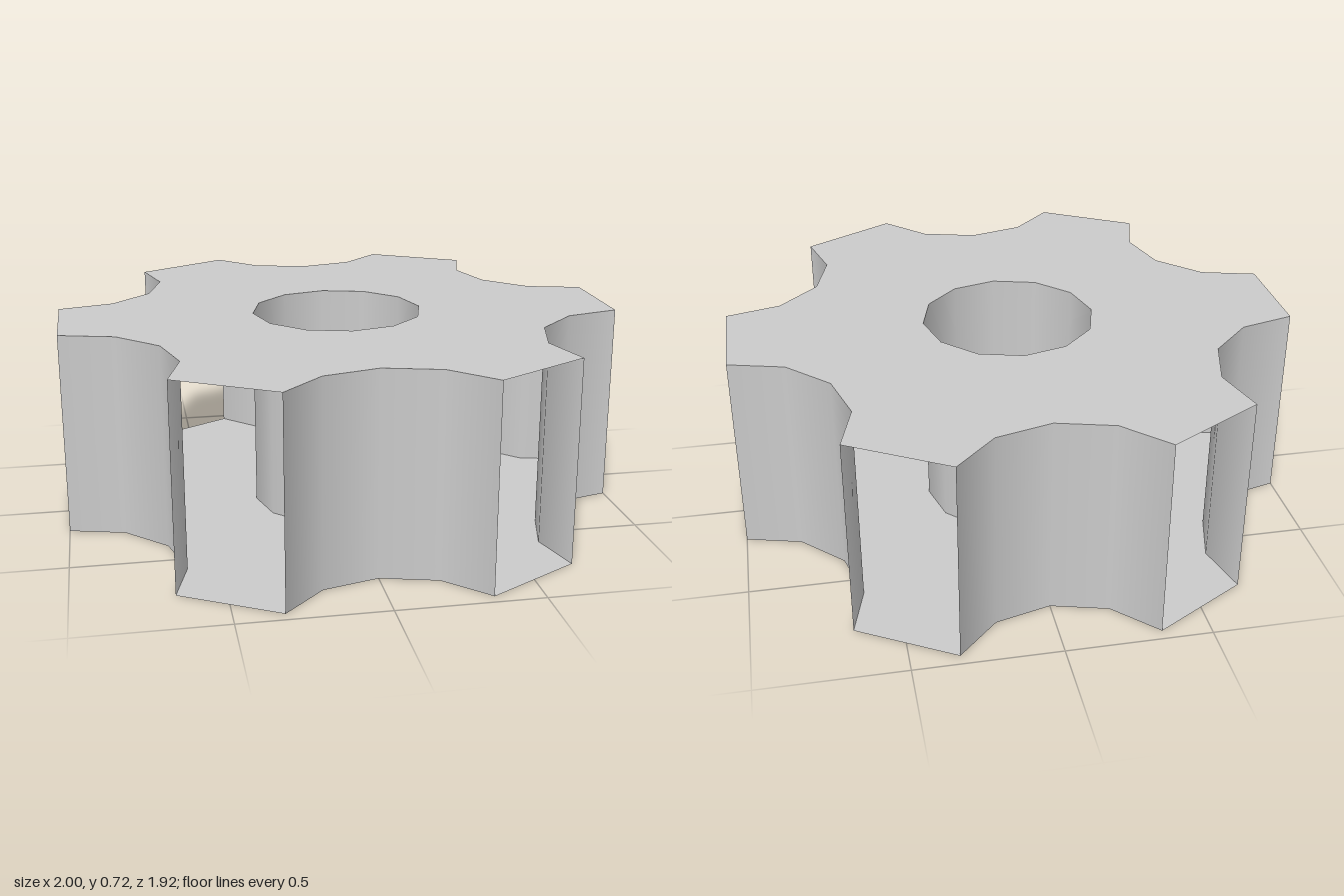
import * as THREE from 'three';

const TEETH = 6;
const HEIGHT = 0.72;
const HOLE_RADIUS = 0.308;
const GROOVE_RADIUS = 0.389; // scooped gap between neighbouring teeth
const GROOVE_DISTANCE = 1.155; // gear axis to scoop axis
const STEP = Math.PI / 6; // 30 degree facets on scoops and bore

// Gear outline: six concave arcs, joined by straight tooth tips
function gearShape() {
  const points = [];
  for (let k = 0; k < TEETH; k++) {
    const a = k * Math.PI / 3 + Math.PI / 2;
    for (let i = -2; i <= 2; i++) {
      const b = a + Math.PI - i * STEP;
      points.push(new THREE.Vector2(
        GROOVE_DISTANCE * Math.cos(a) + GROOVE_RADIUS * Math.cos(b),
        GROOVE_DISTANCE * Math.sin(a) + GROOVE_RADIUS * Math.sin(b)
      ));
    }
  }
  const shape = new THREE.Shape(points);
  const hole = [];
  for (let i = 0; i < 12; i++) {
    hole.push(new THREE.Vector2(HOLE_RADIUS * Math.cos(-i * STEP), HOLE_RADIUS * Math.sin(-i * STEP)));
  }
  shape.holes.push(new THREE.Path(hole));
  return shape;
}

export function createModel() {
  const gear = new THREE.Group();
  gear.name = 'gear';
  const material = new THREE.MeshStandardMaterial({ color: 0xcccccc, side: THREE.DoubleSide });

  const add = (name, geometry) => {
    const mesh = new THREE.Mesh(geometry, material);
    mesh.name = name;
    gear.add(mesh);
    return mesh;
  };

  // Flat plates above and below
  const shape = gearShape();
  add('topPlate', new THREE.ShapeGeometry(shape).rotateX(-Math.PI / 2)).position.y = HEIGHT;
  add('bottomPlate', new THREE.ShapeGeometry(shape).rotateX(Math.PI / 2));

  // Smooth wall of the central bore
  add('boreWall', new THREE.CylinderGeometry(HOLE_RADIUS, HOLE_RADIUS, HEIGHT, 12, 1, true))
    .position.y = HEIGHT / 2;

  // Scooped walls between the teeth; the tooth tips stay open
  const groove = new THREE.CylinderGeometry(
    GROOVE_RADIUS, GROOVE_RADIUS, HEIGHT, 4, 1, true, 4 * STEP, 4 * STEP
  ).translate(0, HEIGHT / 2, GROOVE_DISTANCE);
  for (let k = 0; k < TEETH; k++) {
    add(`grooveWall${k + 1}`, groove).rotation.y = k * Math.PI / 3;
  }
  return gear;
}
